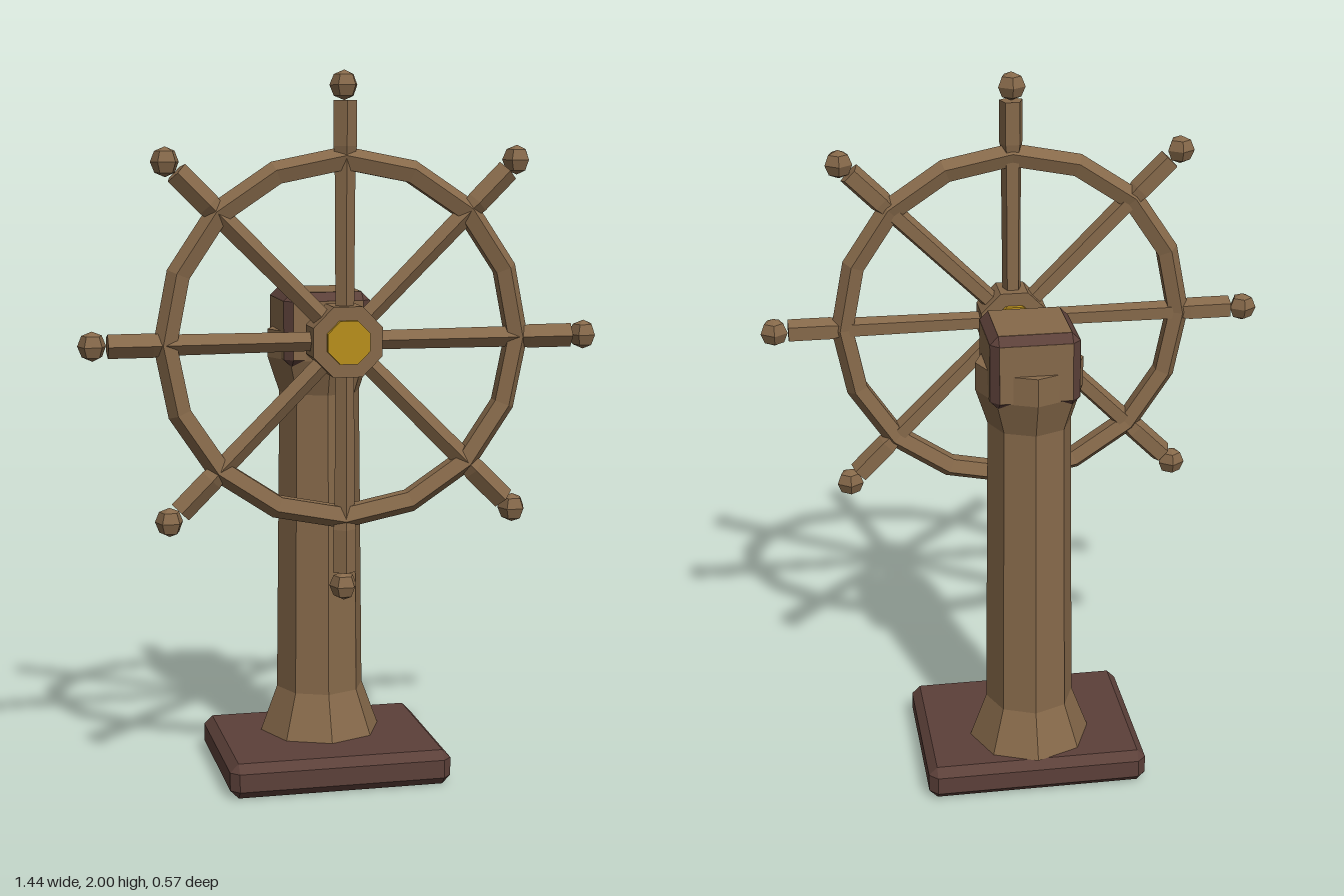
import * as THREE from 'three';
import { ConvexGeometry } from 'three/addons/geometries/ConvexGeometry.js';

const flat = (color) => new THREE.MeshStandardMaterial({ color, flatShading: true });
const wood = flat(0x86694a);
const darkWood = flat(0x5c4039);
const brass = flat(0xb98f1c);

function add(parent, name, geometry, material, x = 0, y = 0, z = 0) {
  const mesh = new THREE.Mesh(geometry, material);
  mesh.name = name;
  mesh.position.set(x, y, z);
  parent.add(mesh);
  return mesh;
}

// Box with all edges cut by c
function chamferBox(w, h, d, c) {
  const pts = [];
  for (const sx of [-1, 1]) for (const sy of [-1, 1]) for (const sz of [-1, 1]) {
    for (let full = 0; full < 3; full++) {
      const half = [w / 2, h / 2, d / 2].map((v, i) => (i === full ? v : v - c));
      pts.push(new THREE.Vector3(sx * half[0], sy * half[1], sz * half[2]));
    }
  }
  return new ConvexGeometry(pts);
}

// Faceted solid of revolution about y, from [radius, height] pairs going up
const turned = (profile, sides) =>
  new THREE.LatheGeometry(profile.map(([r, y]) => new THREE.Vector2(r, y)), sides);

// Closed disc or shaft lying along z
function shaft(radius, length, sides) {
  return new THREE.CylinderGeometry(radius, radius, length, sides)
    .rotateX(Math.PI / 2).rotateZ(Math.PI / sides);
}

export function createModel() {
  const model = new THREE.Group();
  model.name = 'shipWheel';
  const axisY = 1.28, postZ = -0.095;

  add(model, 'base', chamferBox(0.635, 0.1, 0.505, 0.024), darkWood, 0, 0.05, -0.03);

  // Eight-sided post, flared at foot and top
  add(model, 'post', turned([
    [0, 0.09], [0.175, 0.1], [0.127, 0.23], [0.117, 1.1], [0.15, 1.2], [0.15, 1.28], [0, 1.28],
  ], 8), wood, 0, 0, postZ);

  // Head block: dark chamfers with lighter faces
  const head = new THREE.Group();
  head.name = 'head';
  head.position.set(0, 1.285, postZ);
  model.add(head);
  const w = 0.246, h = 0.21, c = 0.023, lift = 0.002;
  add(head, 'headEdges', chamferBox(w, h, w, c), darkWood);
  const inW = w - 2 * c, inH = h - 2 * c;
  add(head, 'headSideFaces', new THREE.BoxGeometry(w + lift, inH, inW), wood);
  add(head, 'headTopAndBottomFaces', new THREE.BoxGeometry(inW, h + lift, inW), wood);
  add(head, 'headFrontAndBackFaces', new THREE.BoxGeometry(inW, inH, w + lift), wood);

  add(model, 'axle', shaft(0.033, 0.2, 8), brass, 0, axisY, 0.1);

  // Wheel, centred on its own axis
  const wheel = new THREE.Group();
  wheel.name = 'wheel';
  wheel.position.set(0, axisY, 0.222);
  model.add(wheel);
  add(wheel, 'rim', new THREE.TorusGeometry(0.485, 0.034, 5, 16), wood);
  add(wheel, 'hub', shaft(0.103, 0.1, 8), wood);
  add(wheel, 'hubCaps', shaft(0.063, 0.128, 8), brass);

  // Spokes carry on past the rim as handles
  const spokeShape = turned([
    [0, 0.05], [0.027, 0.05], [0.03, 0.5], [0.034, 0.52], [0.034, 0.64], [0, 0.64],
  ], 5);
  const knobShape = new THREE.SphereGeometry(0.04, 5, 4).rotateY(-Math.PI / 2);
  for (let i = 0; i < 8; i++) {
    const a = (i * Math.PI) / 4;
    add(wheel, 'spoke', spokeShape, wood).rotation.z = -a;
    add(wheel, 'knob', knobShape, wood, 0.68 * Math.sin(a), 0.68 * Math.cos(a), 0);
  }
  return model;
}
